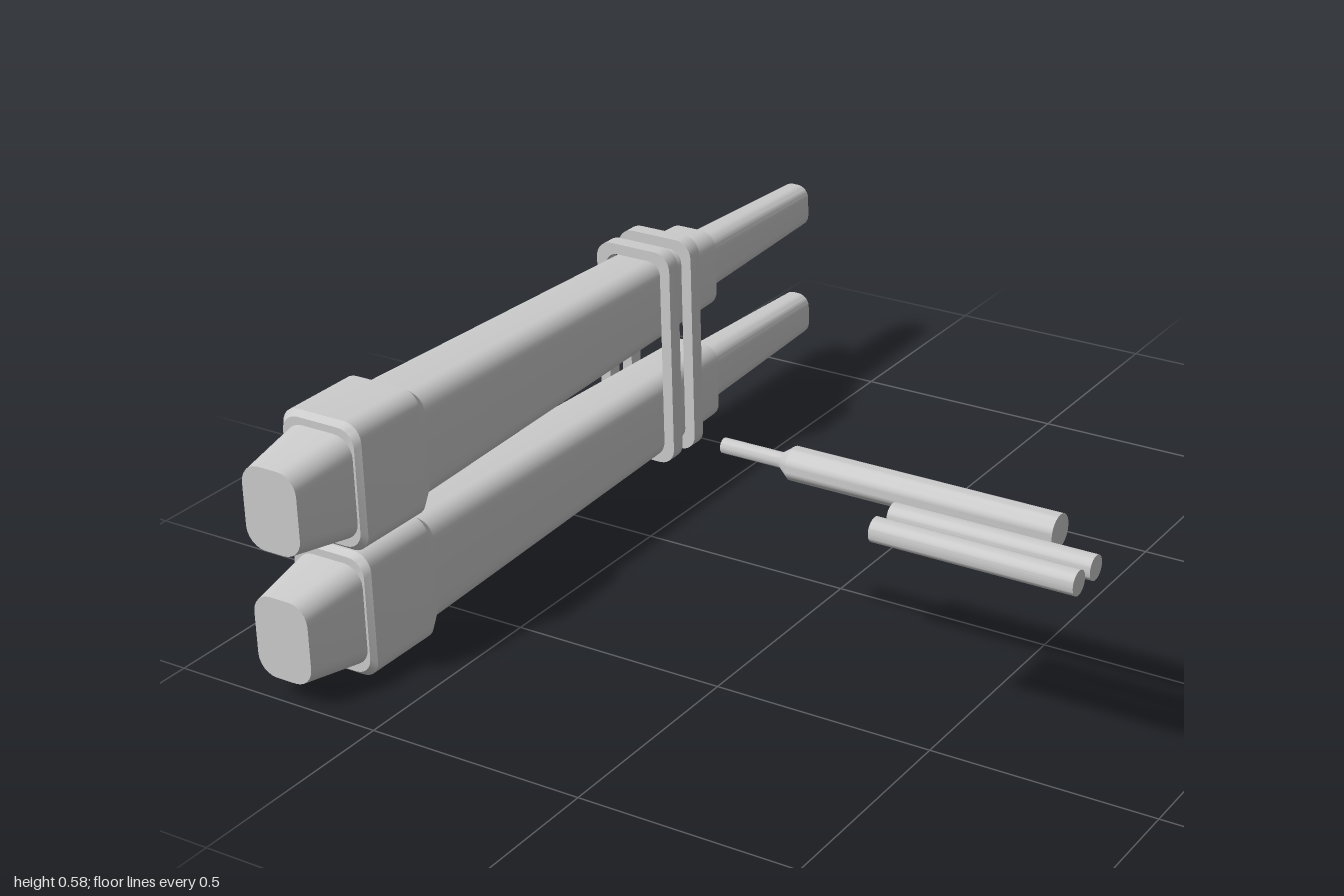
import * as THREE from 'three';
import { toCreasedNormals } from 'three/addons/utils/BufferGeometryUtils.js';

const CX = -0.72;                 // x of the two tapered bodies
const BODY_Y = [0.144, 0.435];    // heights of their axes
const material = new THREE.MeshStandardMaterial({ color: 0xcccccc });

function add(parent, name, geometry, x = 0, y = 0, z = 0) {
  const mesh = new THREE.Mesh(geometry, material);
  mesh.name = name;
  mesh.position.set(x, y, z);
  parent.add(mesh);
  return mesh;
}

// Counter-clockwise outline of a rounded rectangle with half sizes w, h
function outline(w, h, r, steps = 6) {
  const points = [];
  for (let c = 0; c < 4; c++) {
    const sx = c === 0 || c === 3 ? 1 : -1;
    const sy = c < 2 ? 1 : -1;
    for (let i = 0; i <= steps; i++) {
      const a = (c + i / steps) * Math.PI / 2;
      points.push(new THREE.Vector2(sx * (w - r) + r * Math.cos(a), sy * (h - r) + r * Math.sin(a)));
    }
  }
  return points;
}

// Closed loft through sections [z, halfWidth, halfHeight, cornerRadius], back to front
function loft(sections) {
  const positions = [], index = [];
  const rings = sections.map(([z, w, h, r]) => outline(w, h, r).map(p => [p.x, p.y, z]));
  const n = rings[0].length;
  rings.forEach(ring => ring.forEach(p => positions.push(...p)));
  const last = rings.length - 1;
  for (let s = 0; s < last; s++) {
    for (let i = 0; i < n; i++) {
      const a = s * n + i, b = s * n + (i + 1) % n;
      index.push(a, b, b + n, a, b + n, a + n);
    }
  }
  // End caps
  const back = positions.length / 3, front = back + 1;
  positions.push(0, 0, sections[0][0], 0, 0, sections[last][0]);
  for (let i = 0; i < n; i++) {
    const j = (i + 1) % n;
    index.push(back, j, i, front, last * n + i, last * n + j);
  }
  const geometry = new THREE.BufferGeometry();
  geometry.setAttribute('position', new THREE.Float32BufferAttribute(positions, 3));
  geometry.setIndex(index);
  return toCreasedNormals(geometry, THREE.MathUtils.degToRad(25));
}

// Rounded rectangular loop around both bodies
function bandGeometry(depth) {
  const shape = new THREE.Shape(outline(0.1, 0.265, 0.04));
  shape.holes.push(new THREE.Path(outline(0.074, 0.24, 0.03).reverse()));
  const geometry = new THREE.ExtrudeGeometry(shape, { depth, bevelEnabled: false });
  return toCreasedNormals(geometry, THREE.MathUtils.degToRad(30));
}

// Solid of revolution along +x from [radius, x] points
function rod(profile) {
  const points = profile.map(([r, x]) => new THREE.Vector2(r, x));
  const geometry = new THREE.LatheGeometry(points, 32);
  geometry.rotateZ(-Math.PI / 2);
  return toCreasedNormals(geometry, THREE.MathUtils.degToRad(25));
}

export function createModel() {
  const model = new THREE.Group();
  model.name = 'taperedToolSet';

  // Two identical tapered bodies, stacked
  BODY_Y.forEach((y, i) => {
    const body = new THREE.Group();
    body.name = i ? 'upperBody' : 'lowerBody';
    body.position.set(CX, y, 0);
    model.add(body);
    add(body, 'tail', loft([
      [-1, 0.037, 0.053, 0.03],
      [-0.54, 0.048, 0.067, 0.035],
    ]));
    add(body, 'shaft', loft([
      [-0.557, 0.049, 0.068, 0.036],
      [-0.525, 0.069, 0.094, 0.04],
      [0.64, 0.089, 0.121, 0.045],
    ]));
    add(body, 'collar', loft([
      [0.61, 0.088, 0.121, 0.04],
      [0.642, 0.1, 0.144, 0.04],
      [0.83, 0.1, 0.144, 0.04],
      [0.843, 0.091, 0.133, 0.04],
    ]));
    add(body, 'nose', loft([
      [0.82, 0.088, 0.12, 0.045],
      [1, 0.069, 0.093, 0.045],
    ]));
  });

  // Pair of bands holding the bodies together
  const bandDepth = 0.037;
  [-0.318, -0.407].forEach((z, i) =>
    add(model, i ? 'rearBand' : 'frontBand', bandGeometry(bandDepth), CX, 0.297, z));

  // Separate stepped pin
  add(model, 'steppedPin', rod([
    [0, -0.075], [0.0165, -0.075], [0.0165, 0.065],
    [0.036, 0.092], [0.036, 0.693], [0, 0.693],
  ]), 0, 0.468, 0.342);

  // Two plain rods beside the pin
  [0.444, 0.516].forEach((z, i) =>
    add(model, i ? 'outerRod' : 'innerRod',
      rod([[0, 0.38], [0.026, 0.38], [0.026, 0.82], [0, 0.82]]), 0, 0.468, z));

  return model;
}
